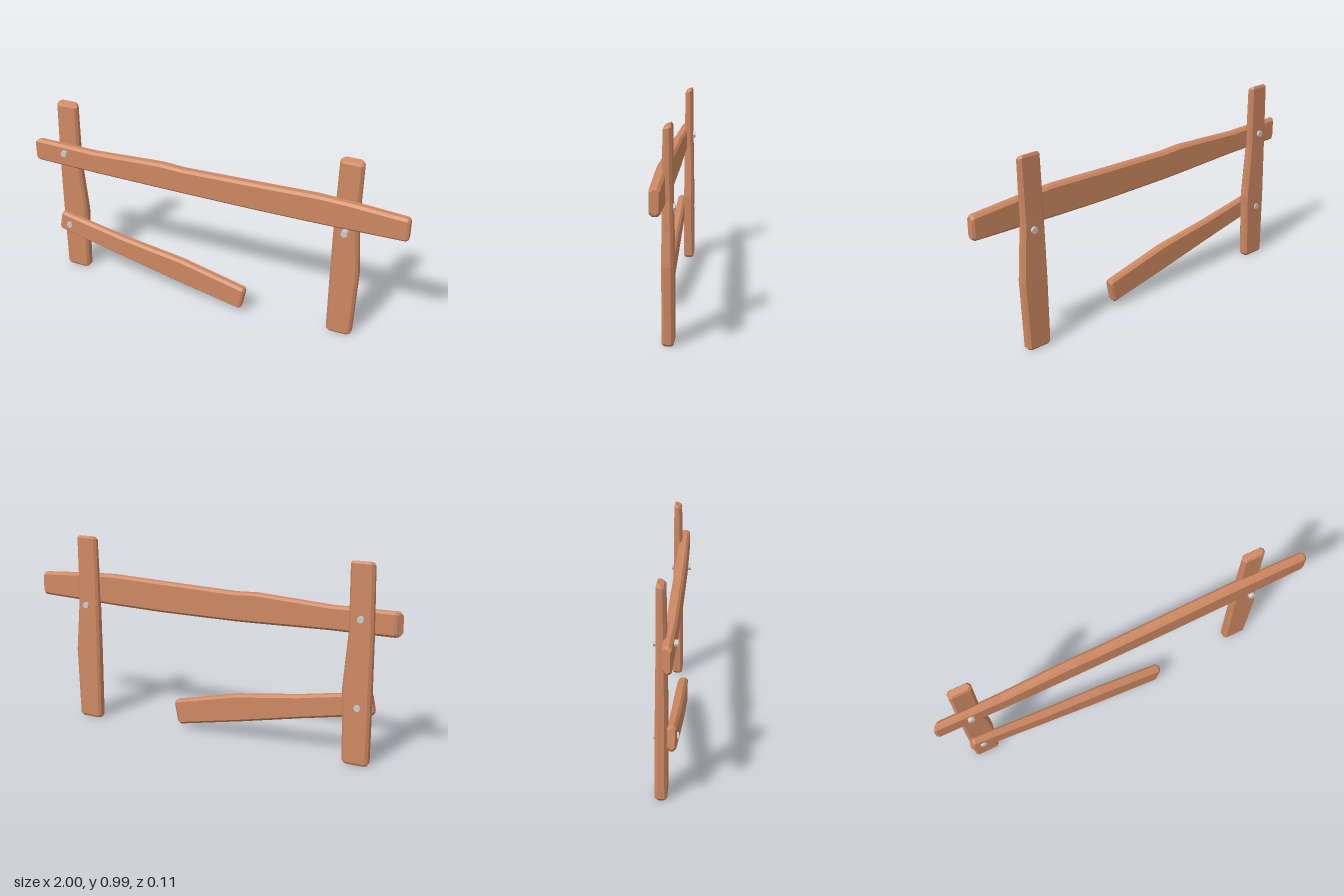
import * as THREE from 'three';

const wood = new THREE.MeshStandardMaterial({ color: 0xcd8862, flatShading: true });
const steel = new THREE.MeshStandardMaterial({ color: 0xcccccc, flatShading: true });

// Chamfered plank along local x. Each section: [x, yLow, yHigh, zBack, zFront, drop of the back lower edge]
function plank(name, sections, { c = 0.012, skewStart = 0, skewEnd = 0 } = {}) {
  const first = sections[0], last = sections[sections.length - 1];
  const inset = ([x, lo, hi, b, f, d = 0]) => [x, lo + c * 0.7, hi - c * 0.7, b + c * 0.5, f - c * 0.5, d];
  const shifted = (s, dx) => [s[0] + dx, ...s.slice(1)];
  const all = [inset(first), shifted(first, c), ...sections.slice(1, -1), shifted(last, -c), inset(last)];
  const pos = [], idx = [], n = 8;

  all.forEach(([x, lo, hi, b, f, d = 0], i) => {
    const skew = i < 2 ? skewStart : i >= all.length - 2 ? skewEnd : 0;
    const ring = [
      [hi - c, b], [hi, b + c], [hi, f - c], [hi - c, f],
      [lo + c, f], [lo, f - c], [lo - d, b + c], [lo + c - d, b],
    ];
    for (const [y, z] of ring) pos.push(x + skew * ((z - b) / (f - b) - 0.5), y, z);
    if (i > 0) {
      for (let j = 0; j < n; j++) {
        const k = (j + 1) % n, p = (i - 1) * n, q = i * n;
        idx.push(p + j, p + k, q + k, p + j, q + k, q + j);
      }
    }
  });
  // End caps
  const e = (all.length - 1) * n;
  for (let j = 1; j < n - 1; j++) idx.push(0, j + 1, j, e, e + j, e + j + 1);

  const geo = new THREE.BufferGeometry();
  geo.setAttribute('position', new THREE.Float32BufferAttribute(pos, 3));
  geo.setIndex(idx);
  const flat = geo.toNonIndexed();
  flat.computeVertexNormals();
  const mesh = new THREE.Mesh(flat, wood);
  mesh.name = name;
  return mesh;
}

// Upright post, bulging slightly to +x in its lower half
function post(name, x) {
  const mesh = plank(name, [
    [0, -0.065, 0.065, -0.05, 0.005],
    [0.37, -0.078, 0.065, -0.048, 0.005],
    [0.66, -0.056, 0.063, -0.043, 0.004],
    [0.985, -0.06, 0.057, -0.04, -0.001],
  ], { skewEnd: -0.01 });
  mesh.rotation.z = Math.PI / 2;
  mesh.position.x = x;
  return mesh;
}

function bolt(name, x, y, zBack, zFront) {
  const geo = new THREE.CylinderGeometry(0.017, 0.017, zFront - zBack, 8);
  geo.rotateX(Math.PI / 2);
  const mesh = new THREE.Mesh(geo, steel);
  mesh.name = name;
  mesh.position.set(x, y, (zFront + zBack) / 2);
  return mesh;
}

export function createModel() {
  const group = new THREE.Group();
  group.name = 'brokenFence';

  group.add(post('rightPost', -0.815), post('leftPost', 0.695));

  // Long upper rail
  group.add(plank('upperRail', [
    [-0.99, 0.64, 0.762, -0.01, 0.032],
    [-0.65, 0.638, 0.757, -0.011, 0.038],
    [-0.27, 0.636, 0.776, -0.012, 0.041, 0.01],
    [-0.15, 0.635, 0.77, -0.012, 0.041, 0.012],
    [0.25, 0.634, 0.78, -0.013, 0.041, 0.012],
    [0.55, 0.636, 0.789, -0.013, 0.04, 0.008],
    [0.7, 0.638, 0.784, -0.013, 0.038, 0.004],
    [1, 0.643, 0.765, -0.013, 0.035],
  ], { skewStart: -0.022 }));

  // Fallen lower rail, hanging from one bolt
  const fallen = plank('fallenRail', [
    [0, -0.056, 0.056, 0.004, 0.045],
    [0.38, -0.058, 0.06, 0.005, 0.052],
    [0.72, -0.064, 0.078, 0.006, 0.055],
    [1.088, -0.065, 0.065, 0.006, 0.055],
  ]);
  fallen.position.set(-0.877, 0.3, 0);
  fallen.rotation.z = -0.197;
  group.add(fallen);

  // Bolts through the posts
  group.add(
    bolt('rightUpperBolt', -0.82, 0.72, -0.055, 0.052),
    bolt('leftUpperBolt', 0.7, 0.622, -0.055, 0.052),
    bolt('rightLowerBolt', -0.82, 0.29, -0.055, 0.055),
  );
  return group;
}
